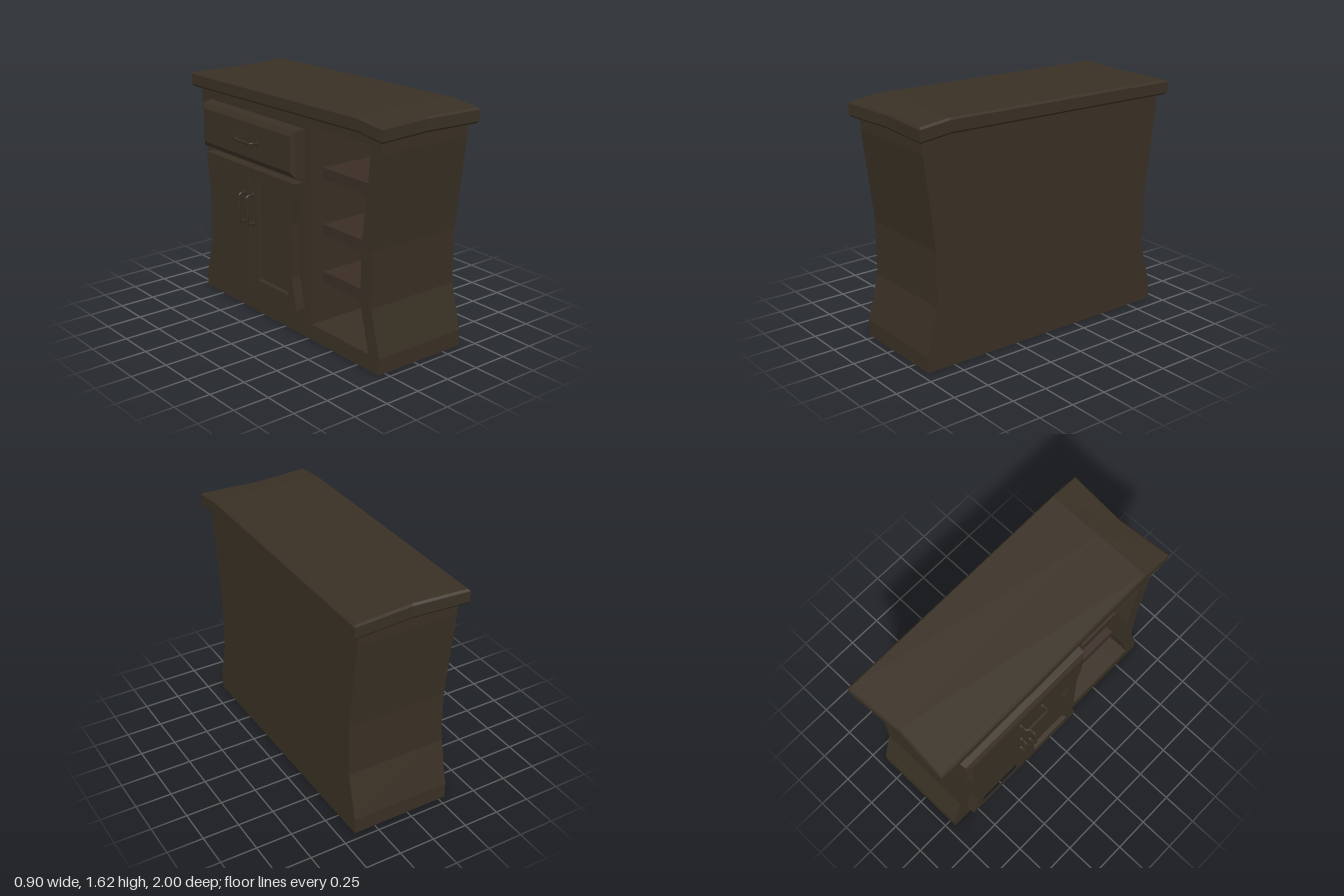
import * as THREE from 'three';

const wood = new THREE.MeshStandardMaterial({ color: 0x3a3125 });
wood.name = 'dark wood';
const shelfWood = new THREE.MeshStandardMaterial({ color: 0x3a2e25 });
shelfWood.name = 'shelf wood';
const metal = new THREE.MeshStandardMaterial({ color: 0x352e23 });
metal.name = 'handle metal';

// Pinched half-width of the carcass at the key heights
const sides = [[0.95, 0], [0.95, 0.11], [0.87, 0.42], [0.87, 0.79], [0.95, 1.42]];

function halfWidth(y) {
  for (let i = 1; i < sides.length; i++) {
    const [w0, y0] = sides[i - 1], [w1, y1] = sides[i];
    if (y <= y1) return w0 + (w1 - w0) * (y - y0) / (y1 - y0);
  }
  return 0.95;
}

const toShape = pts => new THREE.Shape(pts.map(p => new THREE.Vector2(p[0], p[1])));

function mesh(name, geometry, material = wood) {
  const m = new THREE.Mesh(geometry, material);
  m.name = name;
  return m;
}

// Extrude a (z, y) outline between two x positions
function slab(shape, xFront, xBack) {
  const g = new THREE.ExtrudeGeometry(shape, { depth: xBack - xFront, bevelEnabled: false });
  return g.rotateY(-Math.PI / 2).translate(xBack, 0, 0);
}

// Move every vertex of a segmented box by a rule, then shade it flat
function reshape(box, rule) {
  const g = box.toNonIndexed(), p = g.attributes.position;
  for (let i = 0; i < p.count; i++) p.setXYZ(i, ...rule(p.getX(i), p.getY(i), p.getZ(i)));
  g.computeVertexNormals();
  return g;
}

// Bow handle with round mounting plates; base at x = 0, reaching to -x, running along y
function handle(name, length, reach) {
  const group = new THREE.Group();
  group.name = name;
  const h = length / 2, path = new THREE.CurvePath(), r = 0.02;
  const v = (x, y) => new THREE.Vector3(x, y, 0);
  path.add(new THREE.LineCurve3(v(0.005, h), v(r - reach, h)));
  path.add(new THREE.QuadraticBezierCurve3(v(r - reach, h), v(-reach, h), v(-reach, h - r)));
  path.add(new THREE.LineCurve3(v(-reach, h - r), v(-reach, r - h)));
  path.add(new THREE.QuadraticBezierCurve3(v(-reach, r - h), v(-reach, -h), v(r - reach, -h)));
  path.add(new THREE.LineCurve3(v(r - reach, -h), v(0.005, -h)));
  group.add(mesh('handleBow', new THREE.TubeGeometry(path, 40, 0.009, 8), metal));
  const grip = mesh('handleGrip', new THREE.CylinderGeometry(0.012, 0.012, length - 0.06, 8), metal);
  grip.position.x = -reach;
  group.add(grip);
  for (const s of [-1, 1]) {
    const plate = mesh('handlePlate', new THREE.CylinderGeometry(0.018, 0.018, 0.012, 10), metal);
    plate.rotation.z = Math.PI / 2;
    plate.position.set(-0.006, s * h, 0);
    group.add(plate);
  }
  return group;
}

// Door with a raised frame and a sunken panel; side is -1 or +1 from the centre line
function door(name, side) {
  const group = new THREE.Group();
  group.name = name;
  const centre = -0.305;
  const outer = [[0.515, 0.2], [0.465, 0.42], [0.465, 0.79], [0.505, 1.07]];
  const outline = (inset, gap) => [
    [centre + side * gap, 0.2 + inset],
    ...outer.map(([w, y], i) => [centre + side * (w - inset), i === 0 ? y + inset : i === 3 ? y - inset : y]),
    [centre + side * gap, 1.07 - inset],
  ];
  const frame = toShape(outline(0, 0.006));
  frame.holes.push(toShape(outline(0.085, 0.09)));
  group.add(mesh('doorFrame', slab(frame, -0.37, -0.29)));
  group.add(mesh('doorPanel', slab(toShape(outline(0.07, 0.075)), -0.335, -0.29)));
  const grip = handle('doorHandle', 0.2, 0.05);
  grip.position.set(-0.37, 0.785, centre + side * 0.042);
  group.add(grip);
  return group;
}

export function createModel() {
  const model = new THREE.Group();
  model.name = 'cabinet';

  // Carcass with an open bay at the +z end
  const outline = [
    ...sides, [0.95, 1.506], [0.78, 1.53], [-0.95, 1.506],
    ...sides.map(([w, y]) => [-w, y]).reverse(),
  ];
  const wall = 0.1, bayLeft = 0.28, bayTop = 1.46;
  const carcass = toShape(outline);
  carcass.holes.push(toShape([
    [bayLeft, 0.11], ...sides.slice(1).map(([w, y]) => [w - wall, y]),
    [0.95 - wall, bayTop], [bayLeft, bayTop],
  ]));
  model.add(mesh('carcass', slab(carcass, -0.3, 0.34)));
  model.add(mesh('backPanel', slab(toShape(outline), 0.34, 0.4)));

  // Shelves set back inside the bay
  for (const top of [0.46, 0.79, 1.17]) {
    const low = top - 0.075;
    const shelf = toShape([
      [bayLeft - 0.01, low], [halfWidth(low) - wall + 0.005, low],
      [halfWidth(top) - wall + 0.005, top], [bayLeft - 0.01, top],
    ]);
    model.add(mesh('shelf', slab(shelf, -0.2, 0.345), shelfWood));
  }

  // Sagging countertop with chamfered edges and notched ends
  model.add(mesh('countertop', reshape(new THREE.BoxGeometry(2, 3, 2, 2, 3, 2), (x, y, z) => {
    const inset = Math.abs(y) > 1 ? 0.012 : 0;
    const cx = x < -0.5 ? -0.35 + inset : x > 0.5 ? 0.45 - inset : 0.04;
    const end = (Math.abs(x) < 0.5 ? 0.97 : 1) - inset;
    const cz = z < -0.5 ? -end : z > 0.5 ? end : 0.78;
    const lift = Math.abs(z) < 0.5 ? 0.025 : 0;
    const cy = 1.55 + Math.sign(y) * (Math.abs(y) > 1 ? 0.05 : 0.036) + lift;
    return [cx, cy, cz];
  })));

  // Drawer front with a chamfered face
  model.add(mesh('drawerFront', reshape(new THREE.BoxGeometry(2, 2, 2, 2, 1, 1), (x, y, z) => {
    const [cx, inset] = x > 0.5 ? [-0.29, 0] : x < -0.5 ? [-0.39, 0.045] : [-0.37, 0.01];
    return [cx, 1.265 + y * (0.163 - inset), -0.31 + z * (0.53 - inset)];
  })));
  const pull = handle('drawerHandle', 0.19, 0.05);
  pull.rotation.x = Math.PI / 2;
  pull.position.set(-0.39, 1.265, -0.275);
  model.add(pull);

  model.add(door('rightDoor', -1), door('leftDoor', 1));
  return model;
}
